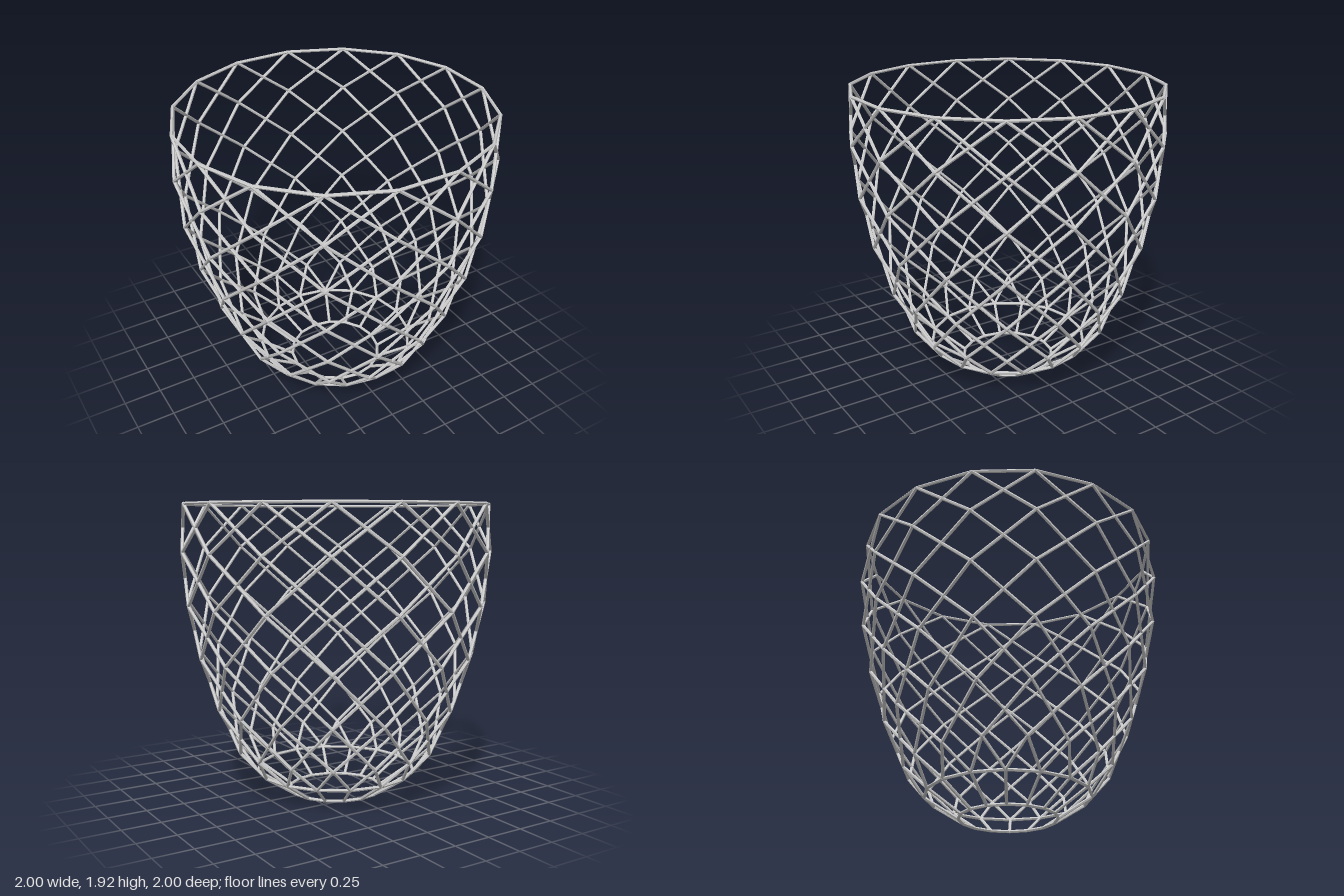
import * as THREE from 'three';
import { mergeGeometries } from 'three/addons/utils/BufferGeometryUtils.js';

const SIDES = 16;
const STEP = (Math.PI * 2) / SIDES;
const WIRE = 0.0105;
const UP = new THREE.Vector3(0, 1, 0);

// Node on a level; "turn" counts steps around the basket
function node([radius, y], turn) {
  const a = turn * STEP;
  return new THREE.Vector3(Math.sin(a) * radius, y, Math.cos(a) * radius);
}

// Straight hexagonal wire between two nodes
function wire(a, b) {
  const dir = b.clone().sub(a);
  const geo = new THREE.CylinderGeometry(WIRE, WIRE, dir.length(), 6);
  const q = new THREE.Quaternion().setFromUnitVectors(UP, dir.normalize());
  geo.applyQuaternion(q);
  return geo.translate((a.x + b.x) / 2, (a.y + b.y) / 2, (a.z + b.z) / 2).toNonIndexed();
}

// Small ball closing the corner where wires meet
function joint(p) {
  return new THREE.IcosahedronGeometry(WIRE, 1).translate(p.x, p.y, p.z);
}

export function createModel() {
  const group = new THREE.Group();
  const material = new THREE.MeshStandardMaterial({ color: 0xcccccc, flatShading: true });

  const add = (name, geometry) => {
    const mesh = new THREE.Mesh(geometry, material);
    mesh.name = name;
    group.add(mesh);
  };

  // Mitred 16-sided hoop; shift rotates it by part of a step
  const addHoop = (name, [radius, y], shift) => {
    const geo = new THREE.TorusGeometry(radius, WIRE, 6, SIDES);
    geo.rotateX(Math.PI / 2).rotateY(shift * STEP).translate(0, y, 0);
    add(name, geo);
  };

  // Levels as [radius, height]
  const base = [0.31, 0.011];
  const foot = [0.527, 0.15];
  const tiers = [
    [0.661, 0.31], [0.796, 0.605], [0.906, 0.945],
    [0.977, 1.28], [1.008, 1.613], [0.992, 1.91],
  ];
  const rim = tiers[tiers.length - 1];

  addHoop('baseHoop', base, 0);
  addHoop('footHoop', foot, 0);
  addHoop('rimHoop', rim, 0.5);

  // Spokes from base hoop to foot hoop, then forked wires up to the lattice
  const spokes = [], forks = [];
  for (let i = 0; i < SIDES; i++) {
    spokes.push(wire(node(base, i), node(foot, i)));
    for (const s of [-0.5, 0.5]) forks.push(wire(node(foot, i), node(tiers[0], i + s)));
  }
  add('baseSpokes', mergeGeometries(spokes));
  add('footForks', mergeGeometries(forks));

  // Crossing diagonal wires of each lattice tier
  for (let t = 0; t < tiers.length - 1; t++) {
    const parts = [];
    for (let i = 0; i < SIDES; i++) {
      const low = node(tiers[t], i + 0.5);
      for (const s of [-1, 1]) parts.push(wire(low, node(tiers[t + 1], i + 0.5 + s)));
    }
    add('latticeTier' + (t + 1), mergeGeometries(parts));
  }

  // Joints at the lattice nodes
  const joints = [];
  for (const tier of tiers)
    for (let i = 0; i < SIDES; i++) joints.push(joint(node(tier, i + 0.5)));
  add('latticeJoints', mergeGeometries(joints));

  return group;
}
